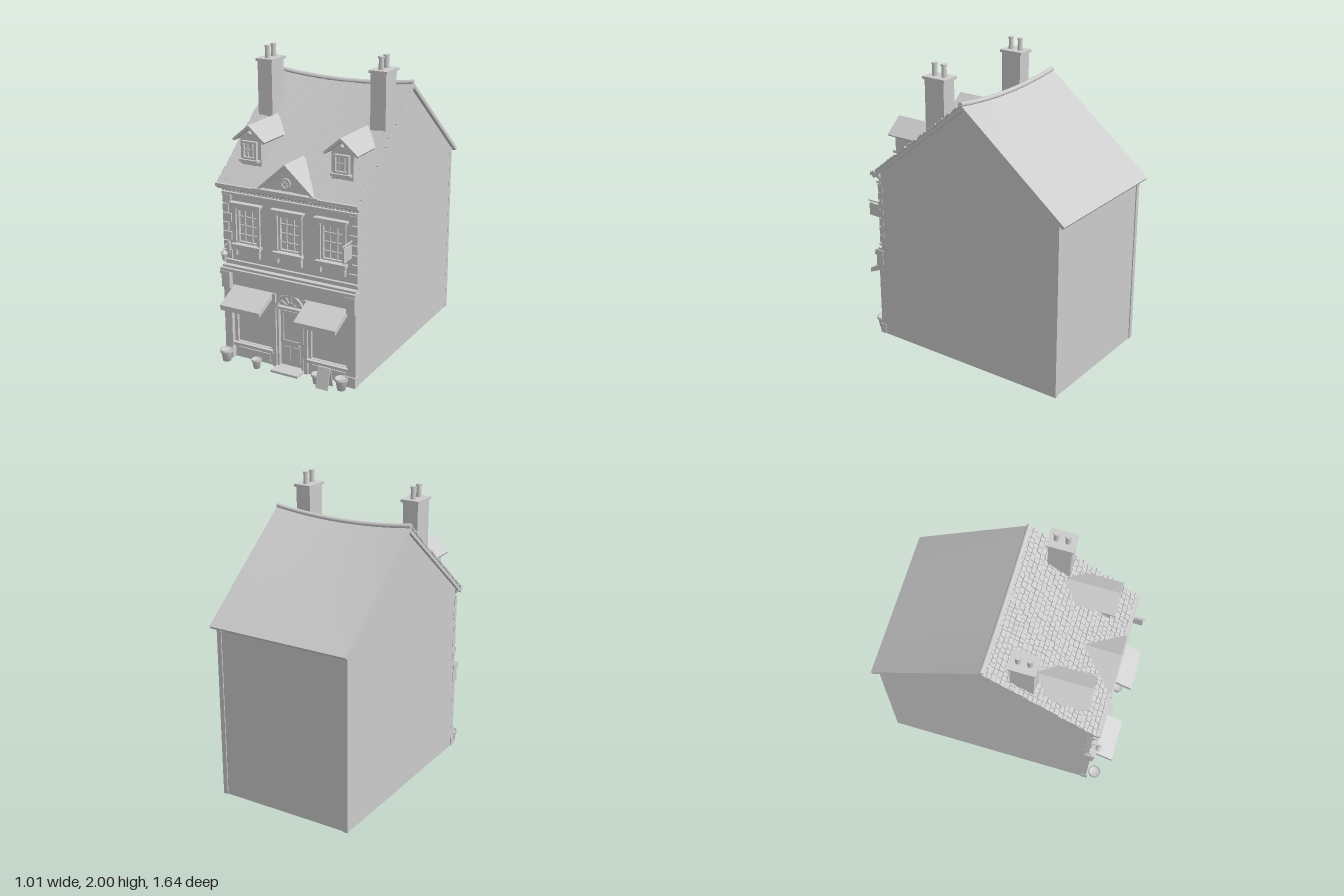
import * as THREE from 'three';
import { mergeGeometries } from 'three/addons/utils/BufferGeometryUtils.js';

const mat = new THREE.MeshStandardMaterial({ color: 0xcccccc, side: THREE.DoubleSide });
const SLOPE = Math.atan2(0.61, 0.76), LEN = Math.hypot(0.61, 0.76);
let seed = 7;
const rnd = () => (seed = (seed * 16807) % 2147483647) / 2147483647;

function add(parent, name, geo, x = 0, y = 0, z = 0) {
  const m = new THREE.Mesh(geo, mat);
  m.name = name;
  m.position.set(x, y, z);
  parent.add(m);
  return m;
}
// box given by centre x, then y and z ranges
const box = (p, name, x, w, y0, y1, z0, z1) =>
  add(p, name, new THREE.BoxGeometry(w, y1 - y0, z1 - z0), x, (y0 + y1) / 2, (z0 + z1) / 2);
const cyl = (p, name, r1, r0, h, x, y, z, n = 16) =>
  add(p, name, new THREE.CylinderGeometry(r1, r0, h, n), x, y + h / 2, z);
function group(parent, name, x = 0, y = 0, z = 0) {
  const g = new THREE.Group();
  g.name = name;
  g.position.set(x, y, z);
  parent.add(g);
  return g;
}
const shape = pts => new THREE.Shape(pts.map(p => new THREE.Vector2(...p)));
const rect = (x, w, y0, y1) => [[x - w / 2, y0], [x + w / 2, y0], [x + w / 2, y1], [x - w / 2, y1]];
const extrude = (s, depth) => new THREE.ExtrudeGeometry(s, { depth, bevelEnabled: false, curveSegments: 16 });
// (z, y) outline extruded sideways around x
function sideExtrude(p, name, pts, w, x) {
  const g = extrude(shape(pts), w);
  g.rotateY(-Math.PI / 2);
  return add(p, name, g, x + w / 2);
}
// the old roof dips in the middle, most at the ridge
function sag(g) {
  const a = g.attributes.position;
  for (let i = 0; i < a.count; i++) {
    const t = THREE.MathUtils.clamp((a.getY(i) - 1.19) / 0.61, 0, 1);
    a.setY(i, a.getY(i) - 0.035 * t * Math.max(0, 1 - (a.getX(i) / 0.5) ** 2));
  }
  g.computeVertexNormals();
  return g;
}
// two sloping slabs forming a small gable roof
function gableRoof(p, name, half, yEave, yTop, z0, z1, th) {
  const rise = yTop - yEave, L = Math.hypot(half, rise), a = Math.atan2(rise, half);
  for (const s of [-1, 1]) {
    const g = new THREE.BoxGeometry(L, th, z1 - z0);
    g.translate(0, -th / 2, 0);
    add(p, name, g, s * half / 2, (yEave + yTop) / 2, (z0 + z1) / 2).rotation.z = -s * a;
  }
}
// framed window with glazing bars; z is the frame's front
function sash(p, x, w, y0, y1, z, cols, rows, f = 0.012) {
  const g = group(p, 'window', x);
  box(g, 'glass', 0, w, y0, y1, z - 0.025, z - 0.02);
  for (const s of [-1, 1]) box(g, 'frameSide', s * (w - f) / 2, f, y0, y1, z - 0.025, z);
  for (const y of [y0, y1 - f]) box(g, 'frameRail', 0, w, y, y + f, z - 0.025, z);
  for (let i = 1; i < cols; i++) box(g, 'glazingBar', -w / 2 + w * i / cols, 0.006, y0, y1, z - 0.02, z - 0.008);
  for (let j = 1; j < rows; j++) {
    const y = y0 + (y1 - y0) * j / rows;
    box(g, 'glazingBar', 0, w, y - 0.003, y + 0.003, z - 0.02, z - 0.008);
  }
}

function walls(p) {
  for (const s of [-1, 1]) {
    box(p, 'sideWall', s * 0.465, 0.03, 0, 1.2, -0.77, 0.64);
    sideExtrude(p, 'gableWall', [[-0.765, 1.2], [0.645, 1.2], [-0.06, 1.765]], 0.03, s * 0.465);
    box(p, 'rearCorner', s * 0.465, 0.032, 0, 1.2, -0.772, -0.74);
  }
  box(p, 'backWall', 0, 0.9, 0, 1.2, -0.765, -0.74);
  for (let i = 0; i < 24; i++) {
    const z = -0.43 + i * 0.0445;
    box(p, 'floorPlank', 0, 0.9, 0.002, 0.015, z, z + 0.042);
  }
  // front wall pierced for the shop, door and upper windows
  const front = shape(rect(0, 0.96, 0, 1.2));
  for (const x of [-0.305, 0, 0.305]) front.holes.push(new THREE.Path(shape(rect(x, 0.16, 0.8, 1.04)).getPoints()));
  for (const x of [-0.275, 0.275]) front.holes.push(new THREE.Path(shape(rect(x, 0.28, 0.1, 0.46)).getPoints()));
  const door = new THREE.Path();
  door.moveTo(-0.09, 0.01).lineTo(0.09, 0.01).lineTo(0.09, 0.42).absarc(0, 0.42, 0.09, 0, Math.PI);
  front.holes.push(door);
  add(p, 'frontWall', extrude(front, 0.03), 0, 0, 0.615);
}

function shop(p) {
  for (const s of [-1, 1]) {
    box(p, 'pilaster', s * 0.453, 0.055, 0, 0.5, 0.64, 0.675);
    box(p, 'pilasterBase', s * 0.453, 0.064, 0, 0.07, 0.64, 0.685);
    box(p, 'pilasterBracket', s * 0.453, 0.06, 0.5, 0.62, 0.64, 0.695);
    box(p, 'bracketCap', s * 0.453, 0.07, 0.595, 0.615, 0.64, 0.705);
    box(p, 'doorPost', s * 0.115, 0.025, 0, 0.51, 0.64, 0.66);
    sash(p, s * 0.275, 0.28, 0.1, 0.46, 0.645, 1, 1);
    box(p, 'shopSill', s * 0.275, 0.3, 0.09, 0.11, 0.64, 0.67);
    box(p, 'stallPanel', s * 0.275, 0.24, 0.02, 0.075, 0.64, 0.653);
    sideExtrude(p, 'awning', [[0.645, 0.515], [0.645, 0.475], [0.82, 0.4], [0.82, 0.432]], 0.29, s * 0.27);
  }
  box(p, 'signBoard', 0, 0.85, 0.515, 0.61, 0.64, 0.658);
  box(p, 'shopCornice', 0, 0.975, 0.615, 0.635, 0.63, 0.7);
  box(p, 'shopCornice', 0, 0.96, 0.635, 0.65, 0.63, 0.68);
  box(p, 'stringCourse', 0, 0.965, 0.672, 0.685, 0.63, 0.665);

  // door and fanlight
  const d = group(p, 'door');
  box(d, 'doorLeaf', 0, 0.18, 0.015, 0.415, 0.615, 0.628);
  box(d, 'transom', 0, 0.2, 0.412, 0.428, 0.615, 0.655);
  for (const s of [-1, 1]) {
    box(d, 'doorFrame', s * 0.09, 0.014, 0.01, 0.42, 0.615, 0.655);
    box(d, 'lowerPanel', s * 0.035, 0.05, 0.045, 0.15, 0.628, 0.634);
    box(d, 'stile', s * 0.066, 0.014, 0.19, 0.39, 0.628, 0.636);
  }
  for (const y of [0.18, 0.385]) box(d, 'rail', 0, 0.145, y, y + 0.014, 0.628, 0.636);
  add(d, 'doorKnob', new THREE.SphereGeometry(0.008, 10, 8), 0.06, 0.17, 0.642);
  add(d, 'fanlightGlass', new THREE.CircleGeometry(0.095, 20, 0, Math.PI), 0, 0.42, 0.625);
  for (const r of [0.035, 0.096]) add(d, 'fanlightArch', new THREE.TorusGeometry(r, r > 0.05 ? 0.01 : 0.004, 8, 24, Math.PI), 0, 0.42, r > 0.05 ? 0.65 : 0.632);
  for (let i = 1; i < 6; i++) {
    const a = i * Math.PI / 6;
    add(d, 'fanlightBar', new THREE.BoxGeometry(0.06, 0.005, 0.01), Math.cos(a) * 0.065, 0.42 + Math.sin(a) * 0.065, 0.632).rotation.z = a;
  }
  box(d, 'doorStep', 0, 0.2, 0, 0.015, 0.62, 0.74);
}

function upperFloor(p) {
  for (const x of [-0.305, 0, 0.305]) {
    sash(p, x, 0.16, 0.8, 1.04, 0.645, 3, 4, 0.014);
    const g = group(p, 'windowSurround', x);
    for (const s of [-1, 1]) {
      box(g, 'architrave', s * 0.088, 0.016, 0.8, 1.05, 0.64, 0.66);
      box(g, 'sillBracket', s * 0.085, 0.02, 0.725, 0.765, 0.64, 0.668);
    }
    box(g, 'lintel', 0, 0.2, 1.045, 1.07, 0.64, 0.667);
    box(g, 'lintelCap', 0, 0.23, 1.068, 1.082, 0.64, 0.685);
    box(g, 'sill', 0, 0.21, 0.785, 0.805, 0.64, 0.685);
    box(g, 'apron', 0, 0.19, 0.76, 0.787, 0.64, 0.665);
  }
  // alternating corner stones
  for (const s of [-1, 1]) for (let i = 0; i < 7; i++) {
    const w = i % 2 ? 0.04 : 0.06;
    box(p, 'quoin', s * (0.482 - w / 2), w, 0.692 + i * 0.062, 0.748 + i * 0.062, 0.62, 0.658);
  }
  box(p, 'eavesMoulding', 0, 0.965, 1.125, 1.14, 0.63, 0.665);
  for (let i = 0; i < 36; i++) box(p, 'dentil', -0.464 + i * 0.0265, 0.014, 1.15, 1.168, 0.64, 0.672);
  box(p, 'eavesCornice', 0, 0.98, 1.168, 1.182, 0.63, 0.685);
  box(p, 'gutter', 0, 1.0, 1.182, 1.202, 0.63, 0.705);
}

function roof(p) {
  for (const s of [-1, 1]) {
    const drop = s > 0 ? 0.014 : 0;
    const g = new THREE.BoxGeometry(1.0, 0.022, LEN, 16, 1, 8);
    g.translate(0, -0.011 - drop, 0).rotateX(s * SLOPE).translate(0, 1.495, -0.06 + s * 0.38);
    add(p, s > 0 ? 'frontRoof' : 'backRoof', sag(g));
  }
  const ridge = new THREE.CylinderGeometry(0.016, 0.016, 1.0, 10, 16);
  ridge.rotateZ(Math.PI / 2).translate(0, 1.8, -0.06);
  add(p, 'ridge', sag(ridge));
  // uneven slates in staggered rows
  const tiles = [], rows = 27, pitch = LEN / rows;
  for (let r = 0; r < rows; r++) {
    let x = -0.5 - rnd() * 0.008;
    while (x < 0.49) {
      const w = Math.min(0.025 + rnd() * 0.02, 0.508 - x), d = pitch * 1.25;
      const t = new THREE.BoxGeometry(w - 0.003, 0.01, d);
      t.rotateX(0.12 + rnd() * 0.05).rotateY((rnd() - 0.5) * 0.08);
      t.translate(x + w / 2, -0.007 + rnd() * 0.004, LEN / 2 - (r + 0.5) * pitch + rnd() * 0.006);
      t.rotateX(SLOPE).translate(0, 1.495, 0.32);
      tiles.push(sag(t));
      x += w;
    }
  }
  add(p, 'roofTiles', mergeGeometries(tiles));

  // central pediment with a round window
  const ped = group(p, 'pediment');
  add(ped, 'pedimentFace', extrude(shape([[-0.19, 1.2], [0.19, 1.2], [0, 1.365]]), 0.2), 0, 0, 0.475);
  gableRoof(ped, 'pedimentRoof', 0.215, 1.195, 1.385, 0.46, 0.695, 0.016);
  box(ped, 'pedimentBase', 0, 0.46, 1.192, 1.208, 0.6, 0.705);
  add(ped, 'roundWindow', new THREE.TorusGeometry(0.03, 0.007, 8, 24), 0, 1.262, 0.678);
  for (let i = 0; i < 4; i++)
    add(ped, 'roundWindowBar', new THREE.BoxGeometry(0.058, 0.004, 0.008), 0, 1.262, 0.677).rotation.z = i * Math.PI / 4;

  for (const s of [-1, 1]) {
    const d = group(p, 'dormer', s * 0.325);
    const face = shape([[-0.075, 1.3], [0.075, 1.3], [0.075, 1.48], [0, 1.54], [-0.075, 1.48]]);
    add(d, 'dormerBody', extrude(face, 0.3), 0, 0, 0.255);
    gableRoof(d, 'dormerRoof', 0.118, 1.468, 1.567, 0.235, 0.585, 0.016);
    sash(d, 0, 0.105, 1.345, 1.46, 0.578, 3, 2);
    box(d, 'dormerSill', 0, 0.135, 1.328, 1.343, 0.54, 0.59);
    add(d, 'finial', new THREE.SphereGeometry(0.014, 12, 8), 0, 1.51, 0.565);

    const c = group(p, 'chimney', s * 0.405);
    box(c, 'stack', 0, 0.105, 1.4, 1.9, 0.1, 0.248);
    box(c, 'stackCap', 0, 0.125, 1.9, 1.918, 0.085, 0.258);
    for (const z of [0.135, 0.208]) {
      cyl(c, 'chimneyPot', 0.015, 0.018, 0.075, 0, 1.915, z);
      cyl(c, 'potRim', 0.02, 0.02, 0.012, 0, 1.988, z);
    }
  }
}

function streetItems(p) {
  const pot = new THREE.LatheGeometry([[0, 0], [0.027, 0], [0.036, 0.06], [0.043, 0.06], [0.043, 0.078], [0.036, 0.078], [0.035, 0.066], [0, 0.066]].map(v => new THREE.Vector2(...v)), 16);
  for (const [x, k] of [[-0.44, 1], [-0.21, 0.8], [0.235, 0.85], [0.41, 1]])
    add(p, 'flowerPot', pot, x, 0, 0.728).scale.setScalar(k);
  // folding pavement board
  const b = group(p, 'pavementBoard', 0.305, 0, 0.755);
  for (const s of [-1, 1]) add(b, 'boardLeaf', new THREE.BoxGeometry(0.085, 0.14, 0.008), 0, 0.07, s * 0.018).rotation.x = -s * 0.24;
  // hanging sign
  const h = group(p, 'hangingSign', 0.445);
  box(h, 'signArm', 0, 0.008, 0.96, 0.968, 0.64, 0.78);
  box(h, 'signPlate', 0, 0.01, 0.86, 0.948, 0.67, 0.77);
  for (const z of [0.69, 0.75]) box(h, 'signHook', 0, 0.004, 0.945, 0.965, z, z + 0.004);
  // wall lantern
  const l = group(p, 'lantern', -0.445);
  const arm = new THREE.CatmullRomCurve3([[0.645, 0.74], [0.665, 0.785], [0.695, 0.795], [0.712, 0.77]].map(v => new THREE.Vector3(0, v[1], v[0])));
  add(l, 'lanternArm', new THREE.TubeGeometry(arm, 16, 0.004, 6));
  box(l, 'lanternPlate', 0, 0.02, 0.72, 0.8, 0.64, 0.664);
  cyl(l, 'lanternGlass', 0.02, 0.012, 0.045, 0, 0.697, 0.712, 6);
  cyl(l, 'lanternCap', 0.005, 0.025, 0.025, 0, 0.742, 0.712, 6);
  cyl(l, 'lanternTip', 0.006, 0.003, 0.012, 0, 0.685, 0.712, 6);
}

export function createModel() {
  const house = new THREE.Group();
  house.name = 'townHouse';
  walls(group(house, 'walls'));
  shop(group(house, 'shopFront'));
  upperFloor(group(house, 'upperFloor'));
  roof(group(house, 'roof'));
  streetItems(group(house, 'streetItems'));
  return house;
}
